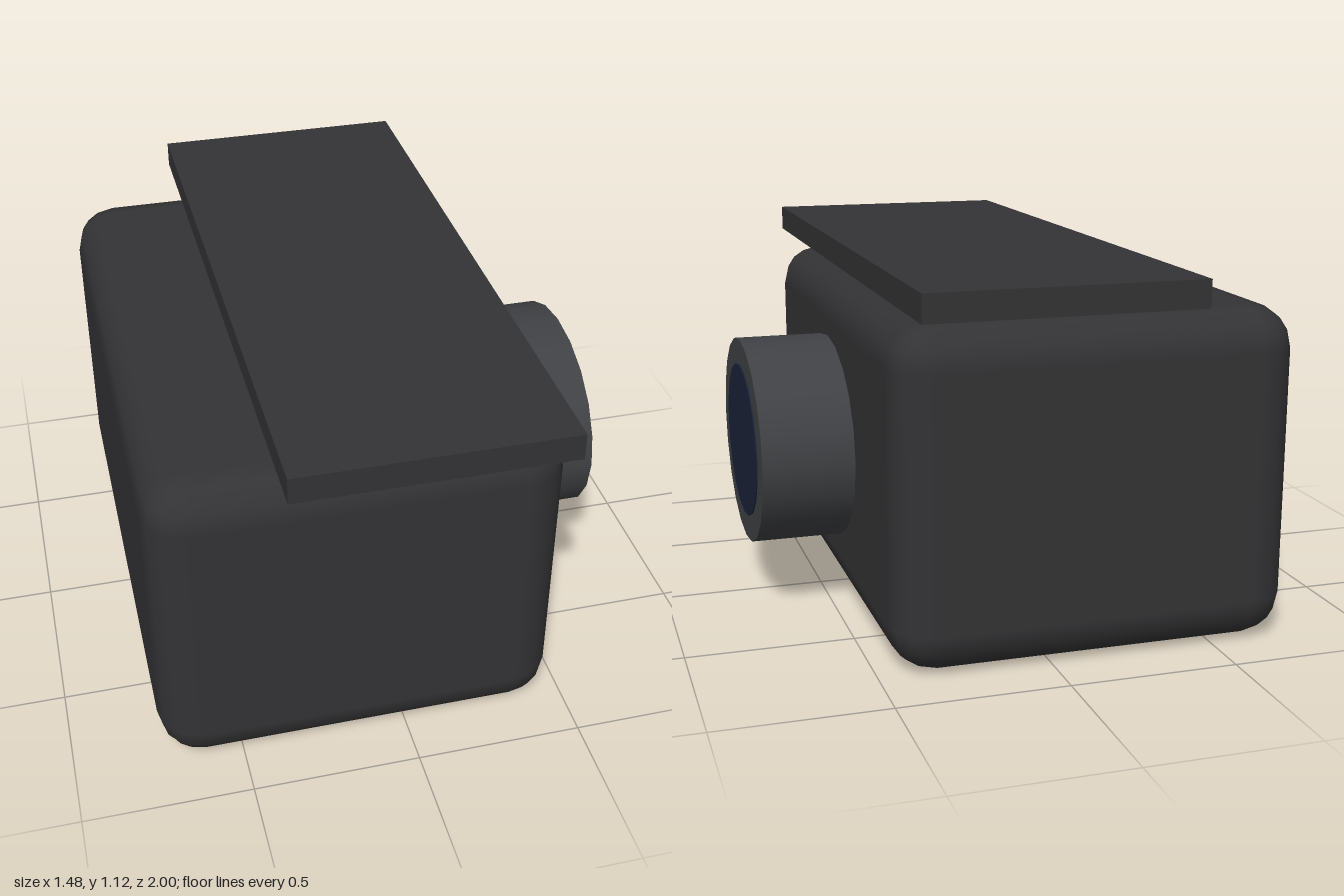
import * as THREE from 'three';
import { RoundedBoxGeometry } from 'three/addons/geometries/RoundedBoxGeometry.js';

const SIDES = 20;

function part(name, geometry, color, x, y, z) {
  const mesh = new THREE.Mesh(geometry, new THREE.MeshStandardMaterial({ color }));
  mesh.name = name;
  mesh.position.set(x, y, z);
  return mesh;
}

// Cylinder along x, from x0 to x1, with an elliptical section
function ovalDrum(x0, x1, ry, rz) {
  return new THREE.CylinderGeometry(1, 1, x1 - x0, SIDES)
    .rotateZ(-Math.PI / 2)
    .scale(1, ry, rz)
    .translate((x0 + x1) / 2, 0, 0);
}

export function createModel() {
  const model = new THREE.Group();
  model.name = 'camera';

  // Rounded housing
  model.add(part('body', new RoundedBoxGeometry(1.2, 1, 1.76, 2, 0.13), 0x333335, -0.14, 0.5, 0));

  // Flat sunshade floating just above the housing
  model.add(part('topPlate', new THREE.BoxGeometry(0.8, 0.08, 2), 0x333335, 0.02, 1.075, 0));

  // Oval lens barrel on the left side, with dark glass at its end
  model.add(part('lensBarrel', ovalDrum(0.36, 0.738, 0.318, 0.38), 0x404144, 0, 0.503, 0));
  model.add(part('lensGlass', ovalDrum(0.7, 0.742, 0.238, 0.287), 0x1a2238, 0, 0.503, 0));

  return model;
}
